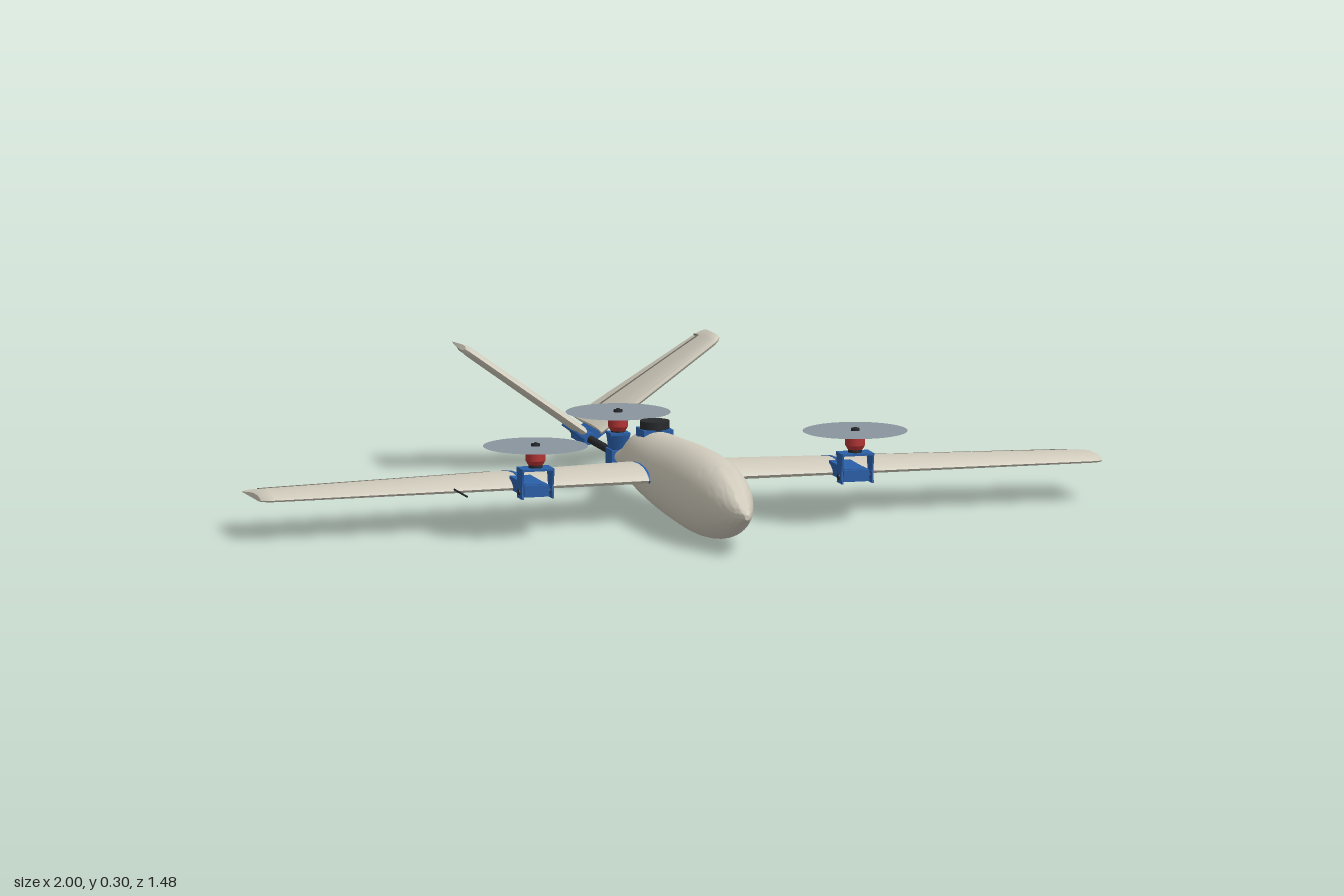
import * as THREE from 'three';
import { toCreasedNormals } from 'three/addons/utils/BufferGeometryUtils.js';

const mat = (name, color, side = THREE.FrontSide) => {
  const m = new THREE.MeshStandardMaterial({ color, side });
  m.name = name;
  return m;
};

export function createModel() {
  const model = new THREE.Group();
  model.name = 'vtolAircraft';
  const shell = mat('shell beige', 0xcfcabb);
  const blue = mat('bracket blue', 0x2a5fa8);
  const red = mat('motor red', 0xb23434);
  const black = mat('carbon black', 0x27292c);
  const disc = mat('rotor disc grey', 0x8a949e, THREE.DoubleSide);
  const seam = mat('seam dark beige', 0x7d7a70);

  const V = (x, y, z) => new THREE.Vector3(x, y, z);
  const lerp = THREE.MathUtils.lerp;

  const add = (name, geo, m, x = 0, y = 0, z = 0, parent = model) => {
    const mesh = new THREE.Mesh(geo, m);
    mesh.name = name;
    mesh.position.set(x, y, z);
    parent.add(mesh);
    return mesh;
  };
  const box = (name, w, h, d, m, x, y, z, parent) =>
    add(name, new THREE.BoxGeometry(w, h, d), m, x, y, z, parent);
  const cyl = (name, rt, rb, h, m, x, y, z, parent) =>
    add(name, new THREE.CylinderGeometry(rt, rb, h, 32), m, x, y, z, parent);

  // Thin strip running from a to b
  const strip = (name, a, b, w, h, m) => {
    const s = box(name, w, h, a.distanceTo(b), m, 0, 0, 0);
    s.position.copy(a).add(b).multiplyScalar(0.5);
    s.lookAt(b);
    return s;
  };

  // Skin a list of equal-length loops, capping both ends; facing is fixed by volume sign
  function loft(rings, crease = 0.7) {
    const n = rings[0].length, pts = rings.flat(), tri = [];
    for (let r = 0; r < rings.length - 1; r++)
      for (let i = 0; i < n; i++) {
        const a = r * n + i, b = r * n + (i + 1) % n;
        tri.push([a, b, a + n], [b, b + n, a + n]);
      }
    [0, rings.length - 1].forEach((r, end) => {
      const c = rings[r].reduce((s, p) => s.add(p), V(0, 0, 0)).divideScalar(n);
      pts.push(c);
      for (let i = 0; i < n; i++) {
        const a = r * n + i, b = r * n + (i + 1) % n;
        tri.push(end ? [a, b, pts.length - 1] : [b, a, pts.length - 1]);
      }
    });
    const mid = rings[0][0];
    const rel = i => pts[i].clone().sub(mid);
    const vol = tri.reduce((s, [a, b, c]) => s + rel(a).dot(rel(b).cross(rel(c))), 0);
    const geo = new THREE.BufferGeometry().setFromPoints(pts);
    geo.setIndex(tri.flatMap(t => (vol < 0 ? [t[0], t[2], t[1]] : t)));
    return toCreasedNormals(geo, crease);
  }

  // Fuselage: [z, bottom y, top y, half width]
  const stations = [
    [0.742, 0.088, 0.1, 0.006], [0.69, 0.064, 0.125, 0.026], [0.6, 0.028, 0.169, 0.055],
    [0.52, 0.01, 0.186, 0.07], [0.42, 0.001, 0.193, 0.078], [0.3, 0.002, 0.192, 0.079],
    [0.15, 0.01, 0.184, 0.077], [0, 0.022, 0.175, 0.068], [-0.09, 0.032, 0.162, 0.056],
    [-0.19, 0.045, 0.118, 0.035], [-0.29, 0.056, 0.084, 0.015]];
  const bottoms = new THREE.CatmullRomCurve3(stations.map(s => V(s[3], s[1], s[0])));
  const tops = new THREE.CatmullRomCurve3(stations.map(s => V(s[3], s[2], s[0])));
  const hull = [];
  for (let i = 0; i <= 60; i++) {
    const b = bottoms.getPoint(i / 60), t = tops.getPoint(i / 60), ring = [];
    for (let k = 0; k < 40; k++) {
      const a = k / 40 * Math.PI * 2;
      ring.push(V(b.x * Math.cos(a), (b.y + t.y) / 2 + (t.y - b.y) / 2 * Math.sin(a), b.z));
    }
    hull.push(ring);
  }
  add('fuselage', loft(hull), shell);

  // Aerofoil outlines: [chord fraction, height]
  const wingFoil = [[0, 0.28], [0.02, 0.48], [0.07, 0.72], [0.16, 0.92], [0.3, 1], [0.45, 0.92],
    [0.62, 0.7], [0.8, 0.4], [1, 0.05], [1, 0], [0.5, 0], [0.1, 0], [0.02, 0.08]];
  const tailFoil = [[0, 0], [0.03, 0.5], [0.12, 0.85], [0.3, 1], [0.6, 0.65], [1, 0.06],
    [1, -0.06], [0.6, -0.65], [0.3, -1], [0.12, -0.85], [0.03, -0.5]];
  const section = (foil, origin, up, lead, trail, thick) =>
    foil.map(([f, h]) => origin.clone().addScaledVector(up, h * thick).setZ(lerp(lead, trail, f)));

  const UP = V(0, 1, 0), LEAD = 0.222;
  const trailAt = x => lerp(-0.072, 0.032, (x - 0.08) / 0.92);
  const thickAt = x => lerp(0.036, 0.02, (x - 0.08) / 0.92);
  const wingRing = (s, x, grow = 0, trim = 0) => section(wingFoil, V(s * x, 0.09 - grow, 0), UP,
    LEAD + grow - trim, trailAt(x) - grow + trim, thickAt(x) + 2 * grow - trim * 0.4);
  // Point on the upper wing skin
  const onWing = (s, x, f) => {
    const i = wingFoil.findIndex(p => p[0] >= f);
    const [f0, h0] = wingFoil[i - 1], [f1, h1] = wingFoil[i];
    const h = lerp(h0, h1, (f - f0) / (f1 - f0));
    return V(s * x, 0.0905 + h * thickAt(x), lerp(LEAD, trailAt(x), f));
  };

  // Rotor motor with its spinning disc
  function motor(name, x, y, z) {
    const g = new THREE.Group();
    g.name = name;
    g.position.set(x, y, z);
    model.add(g);
    cyl('motorBase', 0.016, 0.016, 0.008, black, 0, 0.004, 0, g);
    cyl('motorLower', 0.023, 0.017, 0.01, red, 0, 0.012, 0, g);
    cyl('motorCan', 0.023, 0.023, 0.024, red, 0, 0.029, 0, g);
    cyl('motorShaft', 0.004, 0.004, 0.02, black, 0, 0.048, 0, g);
    cyl('propHub', 0.01, 0.01, 0.007, black, 0, 0.052, 0, g);
    const d = add('rotorDisc', new THREE.CircleGeometry(0.12, 64), disc, 0, 0.05, 0, g);
    d.rotation.x = -Math.PI / 2;
  }

  for (const s of [1, -1]) {
    const side = s > 0 ? 'left' : 'right';
    // Wing with ribs at the root and the rotor mount
    add(side + 'Wing', loft([wingRing(s, 0.082), wingRing(s, 0.38), wingRing(s, 0.97),
      wingRing(s, 0.988, 0, 0.005), wingRing(s, 1, 0, 0.018)]), shell);
    add(side + 'RootRib', loft([wingRing(s, 0.077), wingRing(s, 0.082)]), blue);
    add(side + 'MountRib', loft([wingRing(s, 0.376, 0.001), wingRing(s, 0.384, 0.001)]), blue);
    box(side + 'RootJoiner', 0.03, 0.018, 0.1, blue, s * 0.07, 0.103, 0.14);

    // Aileron and flap seams
    strip(side + 'HingeSeam', onWing(s, 0.4, 0.8), onWing(s, 0.955, 0.8), 0.004, 0.002, seam);
    strip(side + 'AileronTipSeam', onWing(s, 0.955, 0.8), onWing(s, 0.955, 0.995), 0.005, 0.002, seam);
    strip(side + 'AileronRootSeam', onWing(s, 0.66, 0.8), onWing(s, 0.66, 0.995), 0.006, 0.002, blue);
    box(side + 'ServoCover', 0.05, 0.003, 0.04, blue, s * 0.75, 0.0895, 0.115);

    // Tilting rotor mount
    const x = s * 0.38;
    box(side + 'MountArm', 0.05, 0.03, 0.13, blue, x, 0.107, 0.255);
    box(side + 'MountServo', 0.06, 0.026, 0.05, blue, x, 0.107, 0.305);
    const cheek = new THREE.Shape([[-0.022, 0], [0.02, 0], [0.016, 0.03], [0.026, 0.07],
      [-0.026, 0.07], [-0.018, 0.03]].map(p => new THREE.Vector2(...p)));
    for (const k of [-1, 1]) {
      const c = add(side + 'MountCheek', new THREE.ExtrudeGeometry(cheek,
        { depth: 0.004, bevelEnabled: false }), blue, x + k * 0.036 - 0.002, 0.09, 0.317);
      c.rotation.y = Math.PI / 2;
      const pin = cyl(side + 'MountPivot', 0.007, 0.007, 0.01, black, x + k * 0.036, 0.105, 0.317);
      pin.rotation.z = Math.PI / 2;
    }
    box(side + 'MountPlate', 0.076, 0.005, 0.052, blue, x, 0.1575, 0.317);
    motor(side + 'Motor', x, 0.16, 0.317);

    // V-tail panel
    const along = V(s * 0.81, 0.586, 0), normal = V(-s * 0.586, 0.81, 0);
    const base = V(s * 0.018, 0.09, 0);
    const at = d => base.clone().addScaledVector(along, d);
    const trail = d => lerp(-0.742, -0.648, d / 0.35);
    const tailRing = (d, trim = 0) => section(tailFoil, at(d), normal,
      -0.506 - trim, trail(d) + trim, 0.011 - trim * 0.3);
    add(side + 'TailPanel', loft([tailRing(0), tailRing(0.33), tailRing(0.342, 0.005),
      tailRing(0.35, 0.016)]), shell);
    for (const k of [1, -1]) {
      const onTail = (d, f, h) => at(d).addScaledVector(normal, k * h).setZ(lerp(-0.506, trail(d), f));
      const seams = [[onTail(0.01, 0.73, 0.0056), onTail(0.325, 0.73, 0.0056)],
        [onTail(0.325, 0.73, 0.0056), onTail(0.325, 0.98, 0.0015)]];
      for (const [a, b] of seams) strip(side + 'TailSeam', a, b, 0.004, 0.004, seam);
    }
    // Tail panel socket
    const socket = box(side + 'TailSocket', 0.045, 0.014, 0.12, blue, s * 0.014, 0.079, -0.59);
    socket.rotation.z = s * 0.626;
  }

  // Tail boom and its clamp
  const boom = cyl('tailBoom', 0.009, 0.009, 0.42, black, 0, 0.07, -0.468);
  boom.rotation.x = Math.PI / 2;
  box('tailClamp', 0.026, 0.026, 0.11, blue, 0, 0.07, -0.595);

  // Rear rotor mount
  box('rearMountClamp', 0.044, 0.036, 0.05, blue, 0, 0.067, -0.312);
  const post = cyl('rearMountPost', 0.03, 0.024, 0.04, blue, 0, 0.103, -0.312);
  post.geometry = new THREE.CylinderGeometry(0.032, 0.025, 0.04, 4, 1).rotateY(Math.PI / 4);
  box('rearMountPlate', 0.046, 0.006, 0.046, blue, 0, 0.121, -0.312);
  motor('rearMotor', 0, 0.12, -0.312);

  // Satellite receiver on the spine
  box('receiverPlate', 0.07, 0.02, 0.066, blue, 0, 0.17, -0.014);
  cyl('receiver', 0.034, 0.034, 0.02, black, 0, 0.188, -0.014);

  // Airspeed probe on the right wing
  const probe = cyl('airspeedProbe', 0.0022, 0.0022, 0.11, black, -0.544, 0.101, 0.267);
  probe.rotation.x = Math.PI / 2;

  return model;
}
